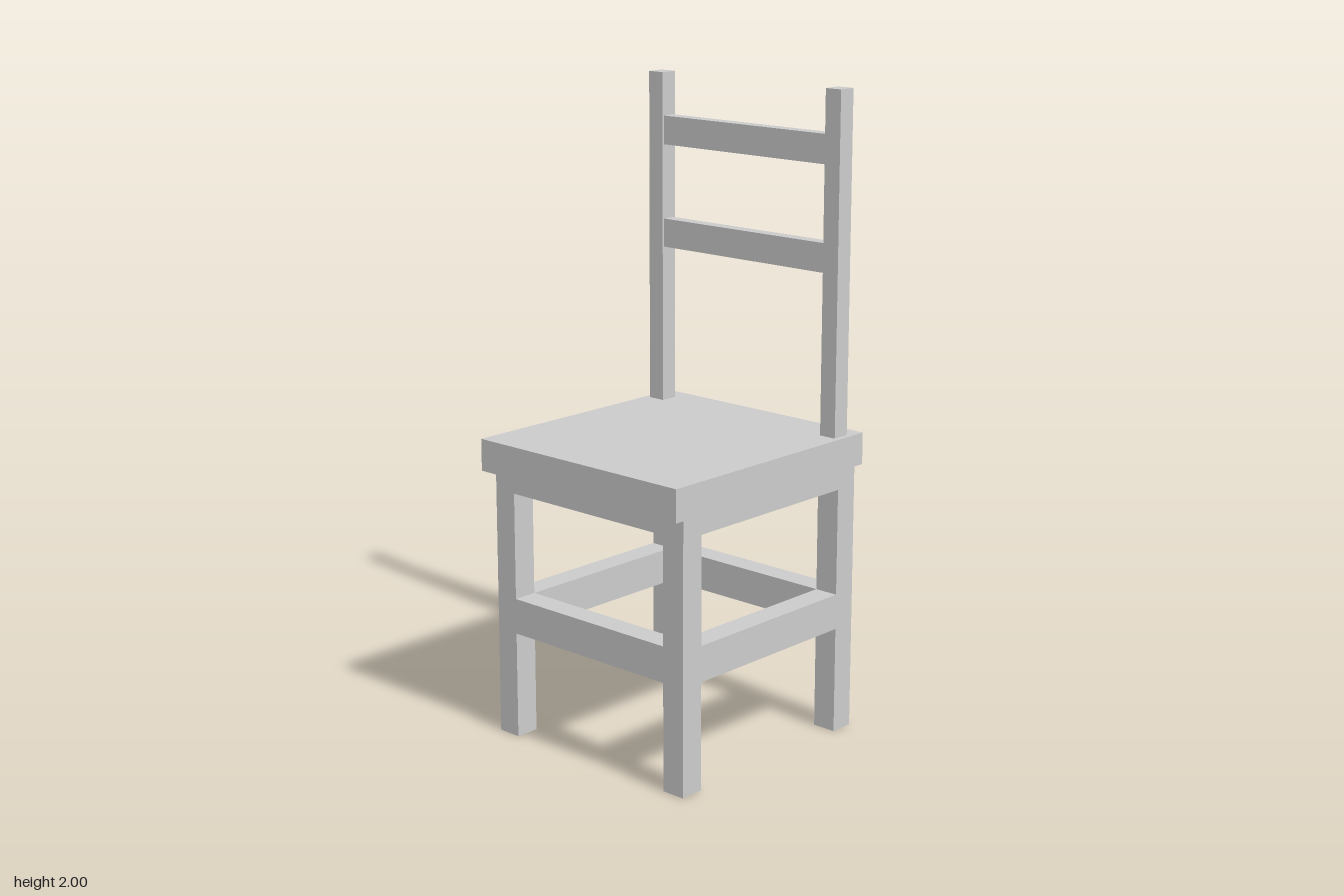
import * as THREE from 'three';

const material = new THREE.MeshStandardMaterial({ color: 0xcccccc, flatShading: true });

export function createModel() {
  const chair = new THREE.Group();
  chair.name = 'chair';

  // Box spanning [x0, x1] x [y0, y1] x [z0, z1]
  const addBox = (name, [x0, x1], [y0, y1], [z0, z1]) => {
    const mesh = new THREE.Mesh(new THREE.BoxGeometry(x1 - x0, y1 - y0, z1 - z0), material);
    mesh.position.set((x0 + x1) / 2, (y0 + y1) / 2, (z0 + z1) / 2);
    mesh.name = name;
    chair.add(mesh);
  };
  // Range mirrored to the far side when side is -1
  const mirror = (side, near, far) => (side > 0 ? [near, far] : [-far, -near]);

  const seatBottom = 0.85, seatTop = 0.95;
  const legX = [[-0.375, -0.297], [0.322, 0.4]];
  const legInner = 0.308, legOuter = 0.386;

  addBox('seat', [-0.42, 0.42], [seatBottom, seatTop], [-0.4, 0.4]);

  // Four legs
  for (const x of legX)
    for (const side of [1, -1])
      addBox('leg', x, [0, seatBottom], mirror(side, legInner, legOuter));

  // Aprons under the seat and stretchers lower down, flush with the legs
  for (const [name, y] of [['apron', [0.786, seatBottom]], ['stretcher', [0.338, 0.45]]]) {
    for (const side of [1, -1])
      addBox(name, [legX[0][1], legX[1][0]], y, mirror(side, legInner, legOuter));
    for (const x of legX) addBox(name, x, y, [-legInner, legInner]);
  }

  // Backrest: two posts and two slats, along the +x edge
  for (const side of [1, -1])
    addBox('backPost', [0.305, 0.363], [seatTop, 2], mirror(side, 0.326, 0.383));
  for (const y of [[1.45, 1.54], [1.775, 1.865]])
    addBox('backSlat', [0.311, 0.354], y, [-0.326, 0.326]);

  return chair;
}
